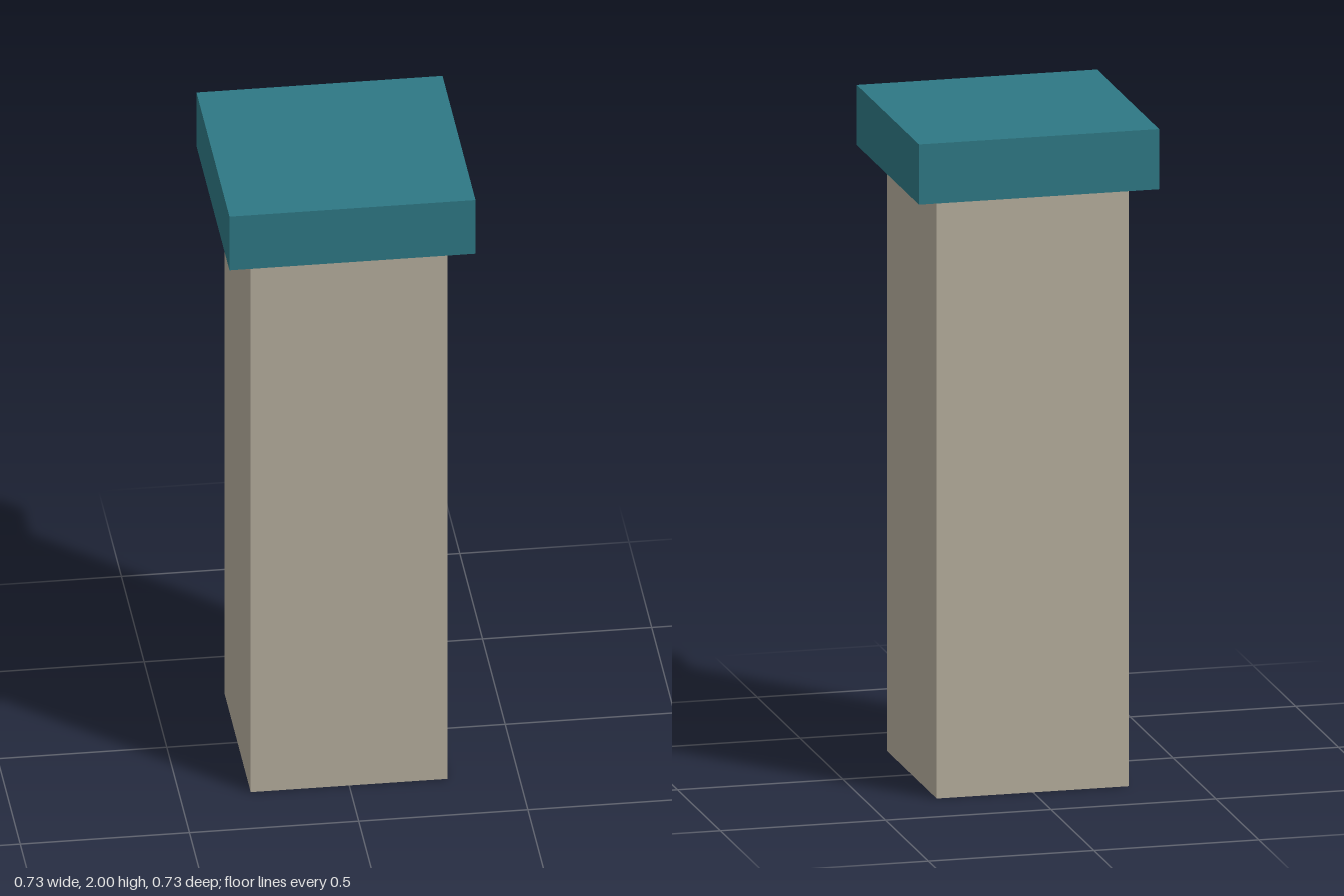
import * as THREE from 'three';

const SHAFT_HEIGHT = 1.818;
const CAP_HEIGHT = 0.182;

// Square block standing on the given height
function block(name, width, height, bottom, color) {
  const mesh = new THREE.Mesh(
    new THREE.BoxGeometry(width, height, width),
    new THREE.MeshStandardMaterial({ color })
  );
  mesh.name = name;
  mesh.position.y = bottom + height / 2;
  return mesh;
}

export function createModel() {
  const pillar = new THREE.Group();
  pillar.name = 'pillar';
  // Stone shaft with a wider slab on top
  pillar.add(block('shaft', 0.582, SHAFT_HEIGHT, 0, 0xb5ad9c));
  pillar.add(block('cap', 0.727, CAP_HEIGHT, SHAFT_HEIGHT, 0x2e7884));
  return pillar;
}
